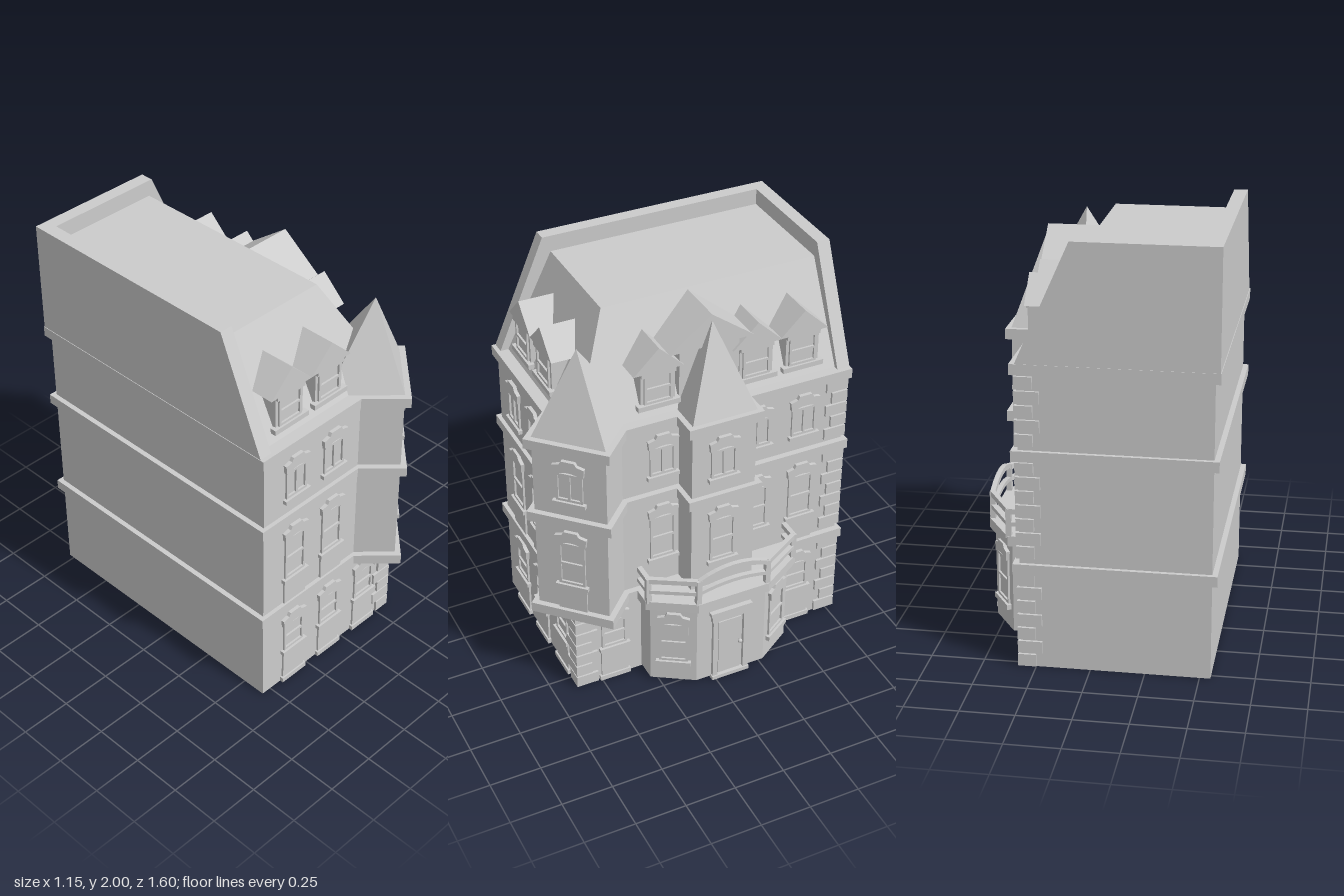
import * as THREE from 'three';

const mat = new THREE.MeshStandardMaterial({ color: 0xcccccc, flatShading: true });

function add(parent, name, geo, x = 0, y = 0, z = 0) {
  const m = new THREE.Mesh(geo, mat);
  m.name = name;
  m.position.set(x, y, z);
  parent.add(m);
  return m;
}
// box given by its min and max corners
function block(parent, name, x0, x1, y0, y1, z0, z1) {
  return add(parent, name, new THREE.BoxGeometry(x1 - x0, y1 - y0, z1 - z0),
    (x0 + x1) / 2, (y0 + y1) / 2, (z0 + z1) / 2);
}
const shapeOf = pts => new THREE.Shape(pts.map(p => new THREE.Vector2(p[0], p[1])));
const extrude = (shape, depth) =>
  new THREE.ExtrudeGeometry(shape, { depth, bevelEnabled: false, curveSegments: 8 });
// upright prism over an [x, z] outline
function prism(parent, name, pts, y0, y1) {
  const g = extrude(shapeOf(pts.map(p => [p[0], -p[1]])), y1 - y0).rotateX(-Math.PI / 2);
  return add(parent, name, g, 0, y0, 0);
}
// group whose local +z points out of a wall
function wallSpot(parent, name, x, z, angle) {
  const g = new THREE.Group();
  g.name = name;
  g.position.set(x, 0, z);
  g.rotation.y = angle;
  parent.add(g);
  return g;
}
function rectHole(shape, x0, x1, y0, y1) {
  shape.holes.push(new THREE.Path([[x0, y0], [x0, y1], [x1, y1], [x1, y0]].map(p => new THREE.Vector2(...p))));
}

// window frame with two panes, stacked (sash) or side by side (casement)
function frame(parent, w, y0, y1, sash) {
  const h = w / 2, b = 0.012, m = (y0 + y1) / 2;
  const s = shapeOf([[-h, y0], [h, y0], [h, y1], [-h, y1]]);
  if (sash) {
    rectHole(s, -h + b, h - b, y0 + b, m - b / 2);
    rectHole(s, -h + b, h - b, m + b / 2, y1 - b);
  } else {
    rectHole(s, -h + b, -b / 2, y0 + b, y1 - b);
    rectHole(s, b / 2, h - b, y0 + b, y1 - b);
  }
  add(parent, 'windowFrame', extrude(s, 0.01));
}

// stepped lintel with a shallow arch cut below
function lintel(parent, y) {
  const s = shapeOf([[0.06, 0], [0.073, 0], [0.078, 0.045], [0.042, 0.054], [0.032, 0.072],
    [-0.032, 0.072], [-0.042, 0.054], [-0.078, 0.045], [-0.073, 0], [-0.06, 0]]);
  s.quadraticCurveTo(0, 0.03, 0.06, 0);
  add(parent, 'lintel', extrude(s, 0.018), 0, y, 0);
}

// floor: 0 ground, 1 first, 2 second; panel fills the wall below the sill
function wallWindow(parent, x, z, angle, floor, panel) {
  const [base, y0, y1] = [[0.01, 0.2, 0.355], [0.51, 0.66, 0.895], [1.05, 1.14, 1.29]][floor];
  const g = wallSpot(parent, 'window', x, z, angle);
  frame(g, 0.13, y0, y1, floor < 2);
  lintel(g, y1);
  block(g, 'sill', -0.08, 0.08, y0 - 0.02, y0, -0.005, 0.022);
  if (panel) {
    block(g, 'panel', -0.07, 0.07, base, y0 - 0.02, -0.005, 0.01);
    if (!floor) block(g, 'plinth', -0.08, 0.08, 0, 0.025, -0.005, 0.018);
  }
}

// gabled roof window
function dormer(parent, x, z, angle) {
  const g = wallSpot(parent, 'dormer', x, z, angle);
  add(g, 'dormerRoof', extrude(shapeOf([[-0.085, 1.66], [0.085, 1.66], [0.085, 1.68], [0.125, 1.68],
    [0, 1.8], [-0.125, 1.68], [-0.085, 1.68]]), 0.18), 0, 0, -0.18);
  block(g, 'dormerBody', -0.085, 0.085, 1.45, 1.67, -0.14, -0.015);
  const f = wallSpot(g, 'dormerWindow', 0, -0.015, 0);
  frame(f, 0.14, 1.515, 1.665, true);
  block(f, 'dormerSill', -0.105, 0.105, 1.49, 1.515, -0.01, 0.02);
}

export function createModel() {
  const house = new THREE.Group();
  house.name = 'townhouse';
  const R = Math.PI / 2;
  const bands = [[0.46, 0.51], [1.0, 1.05], [1.4, 1.45]];

  // main block, corner turret and middle bay
  const diamond = r => [[0.21 + r, 0.51], [0.21, 0.51 + r], [0.21 - r, 0.51], [0.21, 0.51 - r]];
  block(house, 'mainWalls', -0.55, 0.32, 0, 1.45, -0.78, 0.62);
  prism(house, 'turretWalls', diamond(0.25), 0.46, 1.45);
  block(house, 'bayWalls', 0.3, 0.455, 0.46, 1.45, -0.24, 0.085);
  bands.forEach(([a, b], i) => {
    block(house, 'cornice', -0.575, 0.35, a, b, -0.8, 0.64);
    prism(house, 'turretCornice', diamond(0.29), a, b);
    if (i) block(house, 'bayCornice', 0.3, 0.48, a, b, -0.267, 0.11);
  });

  // mansard roof: box with the two street sides leaning in
  const mansard = new THREE.BoxGeometry(0.83, 0.47, 1.34);
  mansard.translate(-0.115, 1.685, -0.09);
  const p = mansard.attributes.position;
  for (let i = 0; i < p.count; i++) {
    if (p.getY(i) < 1.7) continue;
    if (p.getX(i) > 0) p.setX(i, 0.06);
    if (p.getZ(i) > 0) p.setZ(i, 0.345);
  }
  add(house, 'mansardRoof', mansard);

  // party-wall parapets
  add(house, 'backParapet', extrude(shapeOf([[-0.57, 1.45], [0.325, 1.45], [0.08, 2], [-0.57, 2]]), 0.065), 0, 0, -0.798);
  const side = extrude(shapeOf([[-0.62, 1.45], [0.798, 1.45], [0.798, 2], [-0.385, 2]]), 0.065);
  add(house, 'sideParapet', side.rotateY(R), -0.572, 0, 0);

  // turret spire, its tip slightly off centre
  const spire = new THREE.ConeGeometry(0.25, 0.41, 4);
  const q = spire.attributes.position;
  for (let i = 0; i < q.count; i++)
    if (q.getY(i) > 0) q.setXYZ(i, 0.025, q.getY(i), 0.03);
  add(house, 'turretSpire', spire, 0.21, 1.655, 0.51);

  // bay spire and the wide gable behind it
  const baySpire = new THREE.ConeGeometry(Math.SQRT2, 0.43, 4).rotateY(Math.PI / 4).scale(0.145, 1, 0.163);
  add(house, 'baySpire', baySpire, 0.31, 1.665, -0.08);
  const gable = wallSpot(house, 'bayGable', 0.308, -0.08, R);
  add(gable, 'bayGableRoof', extrude(shapeOf([[-0.215, 1.75], [0.215, 1.75], [0, 1.91]]), 0.25), 0, 0, -0.25);
  block(gable, 'bayGableWall', -0.15, 0.15, 1.45, 1.76, -0.2, -0.02);

  // dormers
  for (const x of [-0.34, -0.09]) dormer(house, x, 0.58, 0);
  for (const z of [0.175, -0.32, -0.56]) dormer(house, 0.3, z, R);

  // windows
  for (const x of [-0.35, -0.105])
    for (const f of [0, 1, 2]) wallWindow(house, x, 0.62, 0, f, f < 2);
  wallWindow(house, 0.145, 0.62, 0, 0, true);
  for (const z of [0.43, -0.565]) wallWindow(house, 0.32, z, R, 0, true);
  for (const f of [1, 2]) {
    for (const z of [0.17, -0.32, -0.565]) wallWindow(house, 0.32, z, R, f, f === 1 && z < -0.5);
    wallWindow(house, 0.455, -0.075, R, f, false);
    wallWindow(house, 0.335, 0.635, Math.PI / 4, f, f === 1);
  }

  // corner quoins, alternating long and short
  function quoins(z, sign, top) {
    const n = Math.round(top / 0.0665);
    for (let i = 0; i < n; i++) {
      const y = i * 0.0665, long = i % 2 === 0;
      if (bands.some(([a, b]) => y > a - 0.03 && y + 0.06 < b + 0.03)) continue;
      const a = z + sign * 0.013, b = z - sign * (long ? 0.1 : 0.07);
      block(house, 'quoin', long ? 0.25 : 0.22, 0.333, y + 0.004, y + 0.062, Math.min(a, b), Math.max(a, b));
    }
  }
  quoins(0.62, 1, 0.46);
  quoins(-0.78, -1, 1.4);

  // ground-floor entrance bay with canted sides
  prism(house, 'entranceBay', [[0.3, 0.285], [0.425, 0.285], [0.545, 0.095], [0.545, -0.27],
    [0.425, -0.455], [0.3, -0.455]], 0.01, 0.47);
  prism(house, 'balconyFloor', [[0.3, 0.315], [0.44, 0.315], [0.572, 0.1], [0.572, -0.275],
    [0.44, -0.49], [0.3, -0.49]], 0.46, 0.51);
  for (const s of [1, -1]) {
    const g = wallSpot(house, 'bayWindow', 0.485, -0.0865 + s * 0.276, Math.atan2(0.19, s * 0.12));
    frame(g, 0.14, 0.135, 0.36, true);
    lintel(g, 0.36);
    block(g, 'sill', -0.085, 0.085, 0.11, 0.135, -0.005, 0.022);
  }

  // front door
  const door = wallSpot(house, 'frontDoor', 0.545, -0.08, R);
  for (const s of [1, -1])
    block(door, 'doorPost', s * 0.082 - 0.013, s * 0.082 + 0.013, 0.02, 0.37, -0.005, 0.018);
  block(door, 'doorHead', -0.1, 0.1, 0.36, 0.4, -0.005, 0.018);
  block(door, 'doorCap', -0.11, 0.11, 0.4, 0.42, -0.005, 0.025);
  block(door, 'doorStep', -0.1, 0.1, 0, 0.02, -0.005, 0.025);
  block(door, 'doorLeaf', -0.06, 0.06, 0.02, 0.34, -0.005, 0.006);
  add(door, 'doorKnob', new THREE.SphereGeometry(0.011, 10, 8), 0.053, 0.19, 0.014);

  // balcony railing: posts, straight side rails, arched front rails
  const path = [[0.34, 0.3], [0.435, 0.3], [0.555, 0.095], [0.555, -0.27], [0.435, -0.475], [0.34, -0.475]];
  path.forEach(([x, z], i) => {
    if (i % 5) block(house, 'railPost', x - 0.013, x + 0.013, 0.5, 0.645, z - 0.013, z + 0.013);
    if (i === 5) return;
    const [x2, z2] = path[i + 1], len = Math.hypot(x2 - x, z2 - z);
    const g = wallSpot(house, 'railing', (x + x2) / 2, (z + z2) / 2, -Math.atan2(z2 - z, x2 - x));
    for (const [y, h, rise] of [[0.56, 0.02, 0.05], [0.62, 0.026, 0.085]]) {
      if (i !== 2) {
        block(g, 'rail', -len / 2, len / 2, y, y + h, -0.012, 0.012);
        continue;
      }
      const s = new THREE.Shape();
      s.moveTo(-len / 2, y);
      s.quadraticCurveTo(0, y + rise, len / 2, y);
      s.lineTo(len / 2, y + h);
      s.quadraticCurveTo(0, y + h + rise, -len / 2, y + h);
      add(g, 'archedRail', extrude(s, 0.024), 0, 0, -0.012);
    }
  });
  return house;
}
